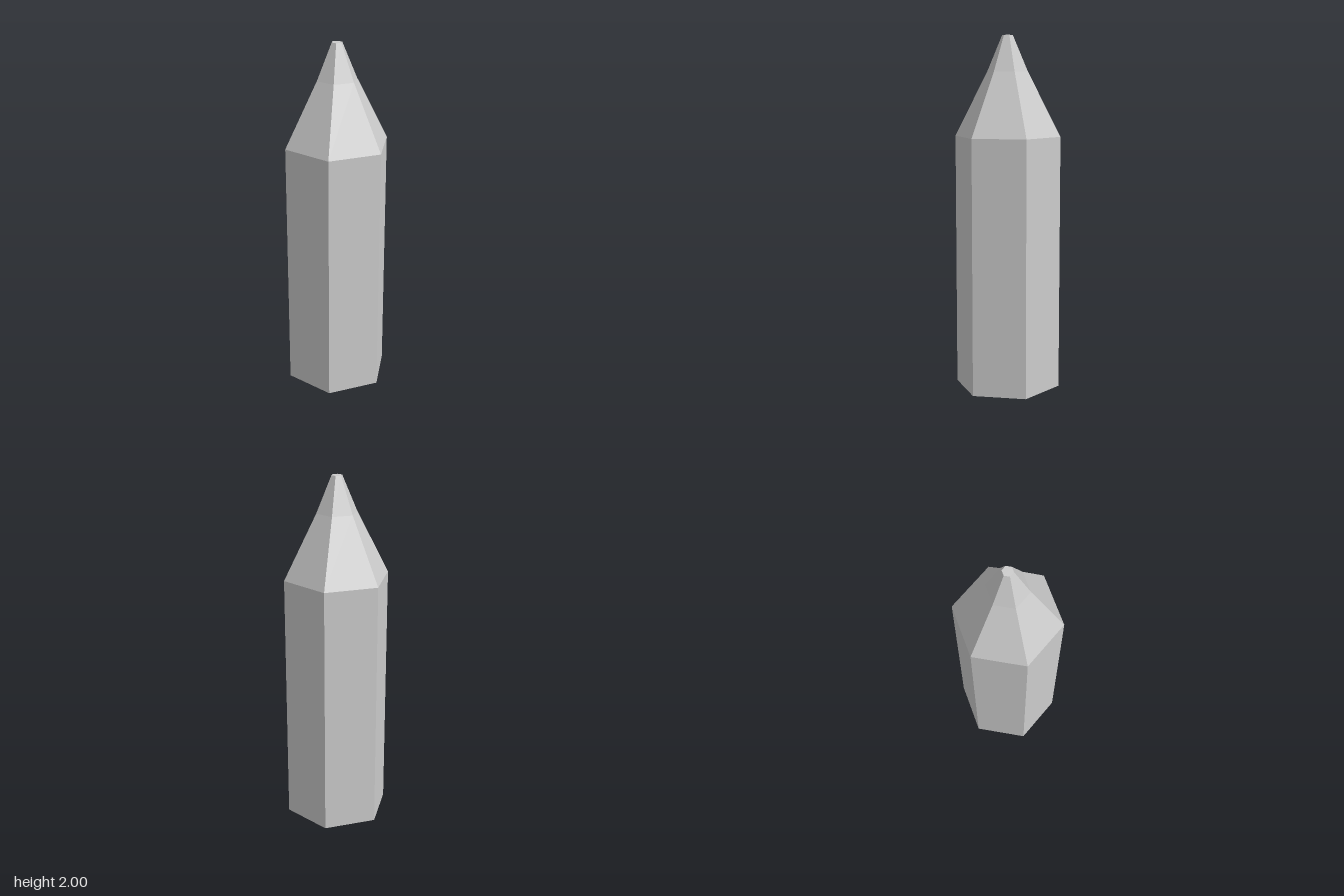
import * as THREE from 'three';

const SIDES = 6;

export function createModel() {
  const group = new THREE.Group();
  group.name = 'pencil';
  const material = new THREE.MeshStandardMaterial({ color: 0xcccccc, flatShading: true });

  // Hexagonal section with corners on the x axis, capped at the ends only
  function section(name, r0, y0, r1, y1, open) {
    const geometry = new THREE.CylinderGeometry(r1, r0, y1 - y0, SIDES, 1, open, Math.PI / 2);
    const mesh = new THREE.Mesh(geometry, material);
    mesh.name = name;
    mesh.position.y = (y0 + y1) / 2;
    group.add(mesh);
  }

  // Flat disc closing one end, facing up or down
  function cap(name, radius, y, up) {
    const mesh = new THREE.Mesh(new THREE.CircleGeometry(radius, SIDES), material);
    mesh.name = name;
    mesh.rotation.x = up ? -Math.PI / 2 : Math.PI / 2;
    mesh.position.y = y;
    group.add(mesh);
  }

  section('body', 0.3, 0, 0.3, 1.44, true);
  section('sharpenedWood', 0.3, 1.44, 0.115, 1.8, true);
  section('lead', 0.115, 1.8, 0.03, 2, true);
  cap('bottomEnd', 0.3, 0, false);
  cap('leadTip', 0.03, 2, true);

  return group;
}
